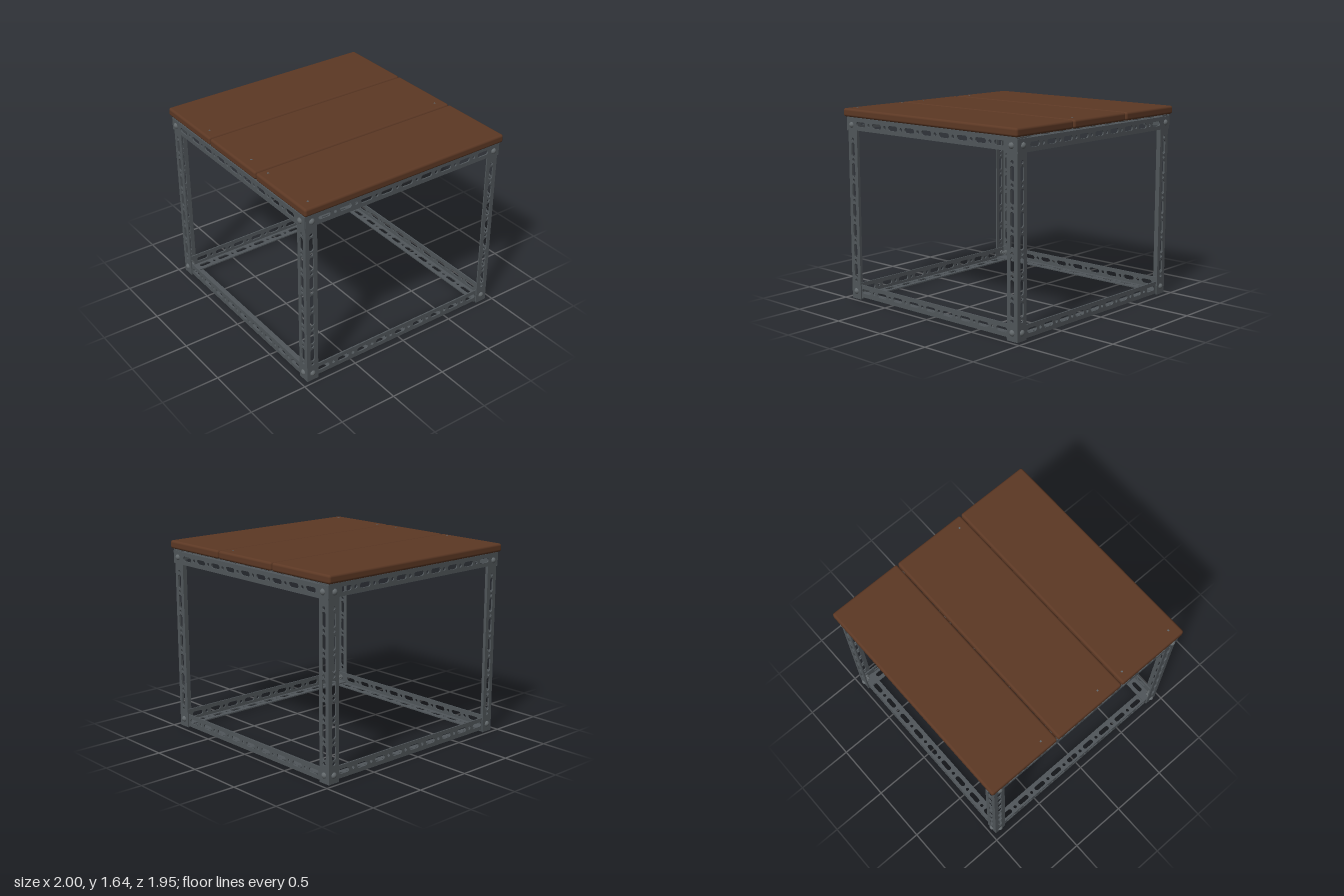
import * as THREE from 'three';
import { RoundedBoxGeometry } from 'three/addons/geometries/RoundedBoxGeometry.js';
import { mergeGeometries } from 'three/addons/utils/BufferGeometryUtils.js';

const W = 0.107; // flange width
const T = 0.011; // flange thickness

// Flat steel strip along x with alternating long slots and small round holes
function strip(length, pitch, slotLength) {
  const s = new THREE.Shape();
  s.moveTo(-length / 2, 0);
  s.lineTo(length / 2, 0);
  s.lineTo(length / 2, W);
  s.lineTo(-length / 2, W);
  s.closePath();
  const r = 0.02, cy = W / 2, limit = length / 2 - 0.1;
  const count = Math.floor(limit / pitch);
  for (let i = -count; i <= count; i++) {
    const x = i * pitch, h = slotLength / 2 - r;
    if (Math.abs(x) + h + r > limit) continue;
    const slot = new THREE.Path();
    slot.absarc(x + h, cy, r, -Math.PI / 2, Math.PI / 2, false);
    slot.absarc(x - h, cy, r, Math.PI / 2, Math.PI * 1.5, false);
    slot.closePath();
    s.holes.push(slot);
  }
  for (let x = pitch / 2; x < limit; x += pitch) {
    for (const side of [-1, 1]) {
      const hole = new THREE.Path();
      hole.absarc(side * x, cy, 0.015, 0, Math.PI * 2, false);
      s.holes.push(hole);
    }
  }
  return new THREE.ExtrudeGeometry(s, { depth: T, bevelEnabled: false, curveSegments: 6 });
}

// Angle iron along x: outer corner at y = z = 0, flanges reach to +y and -z
function angleIron(length, pitch, slotLength) {
  const upright = strip(length, pitch, slotLength).translate(0, 0, -T);
  const flat = strip(length, pitch, slotLength).rotateX(-Math.PI / 2);
  return mergeGeometries([upright, flat]);
}

export function createModel() {
  const model = new THREE.Group();
  model.name = 'table';
  const wood = new THREE.MeshStandardMaterial({ name: 'brown wood', color: 0x5c3824 });
  const steel = new THREE.MeshStandardMaterial({ name: 'dark steel', color: 0x50565a });
  const boltSteel = new THREE.MeshStandardMaterial({ name: 'bolt steel', color: 0x62686b });

  function add(parent, name, geometry, material, x = 0, y = 0, z = 0) {
    const mesh = new THREE.Mesh(geometry, material);
    mesh.name = name;
    mesh.position.set(x, y, z);
    parent.add(mesh);
    return mesh;
  }

  // Table top: three rounded planks
  const plankGeo = new RoundedBoxGeometry(0.661, 0.07, 1.944, 3, 0.02);
  for (const i of [-1, 0, 1]) add(model, 'plank', plankGeo, wood, i * 0.6695, 1.605, 0);

  // Screw tips showing through the planks
  const tipGeo = new THREE.BoxGeometry(0.014, 0.004, 0.014);
  for (const [x, z] of [[0.25, -0.88], [-0.45, 0.9], [0.15, 0.885], [0.4, 0.895], [0.91, 0.885]]) {
    add(model, 'screwTip', tipGeo, boltSteel, x, 1.64, z);
  }

  // Corner posts
  const halfX = 0.965, halfZ = 0.949;
  const postGeo = angleIron(1.54, 0.174, 0.12).rotateZ(Math.PI / 2);
  const corners = [[1, 1], [1, -1], [-1, -1], [-1, 1]];
  corners.forEach(([sx, sz], k) => {
    const post = add(model, 'post', postGeo, steel, sx * halfX, 0.77, sz * halfZ);
    post.rotation.y = k * Math.PI / 2;
  });

  // Bolt with domed head on +z, shank and hex nut behind
  const head = [[0, 0.018], [0.011, 0.016], [0.02, 0.01], [0.025, 0.002], [0.025, 0]];
  const headGeo = new THREE.LatheGeometry(
    head.reverse().map(([r, y]) => new THREE.Vector2(r, y)), 16).rotateX(Math.PI / 2);
  const shankGeo = new THREE.CylinderGeometry(0.011, 0.011, 0.06, 10).rotateX(Math.PI / 2);
  const nutGeo = new THREE.CylinderGeometry(0.024, 0.024, 0.016, 6).rotateX(Math.PI / 2);

  // Four sides: top rail outside the posts, bottom rail inside, bolts at the corners
  for (let k = 0; k < 4; k++) {
    const isEnd = k % 2 === 1;
    const reach = isEnd ? halfZ : halfX; // half length of this side
    const face = isEnd ? halfX : halfZ; // distance of the post faces
    const side = new THREE.Group();
    side.name = isEnd ? 'endFrame' : 'longFrame';
    side.rotation.y = k * Math.PI / 2;
    model.add(side);

    const topGeo = angleIron(2 * reach + 0.01, 0.195, 0.11).rotateX(-Math.PI / 2);
    add(side, 'topRail', topGeo, steel, 0, isEnd ? 1.567 : 1.555, face + T / 2 + 0.004);
    const bottomGeo = angleIron(2 * (reach - T), 0.195, 0.11);
    add(side, 'bottomRail', bottomGeo, steel, 0, isEnd ? 0.021 : 0.009, face - T);

    for (const sx of [-1, 1]) {
      for (const [y, z] of [[0.067, face], [1.503, face + T / 2 + 0.004]]) {
        const bolt = new THREE.Group();
        bolt.name = 'bolt';
        bolt.position.set(sx * (reach - W / 2), y, z);
        add(bolt, 'boltHead', headGeo, boltSteel);
        add(bolt, 'boltShank', shankGeo, boltSteel, 0, 0, -0.028);
        add(bolt, 'nut', nutGeo, boltSteel, 0, 0, -0.03);
        side.add(bolt);
      }
    }
  }
  return model;
}
